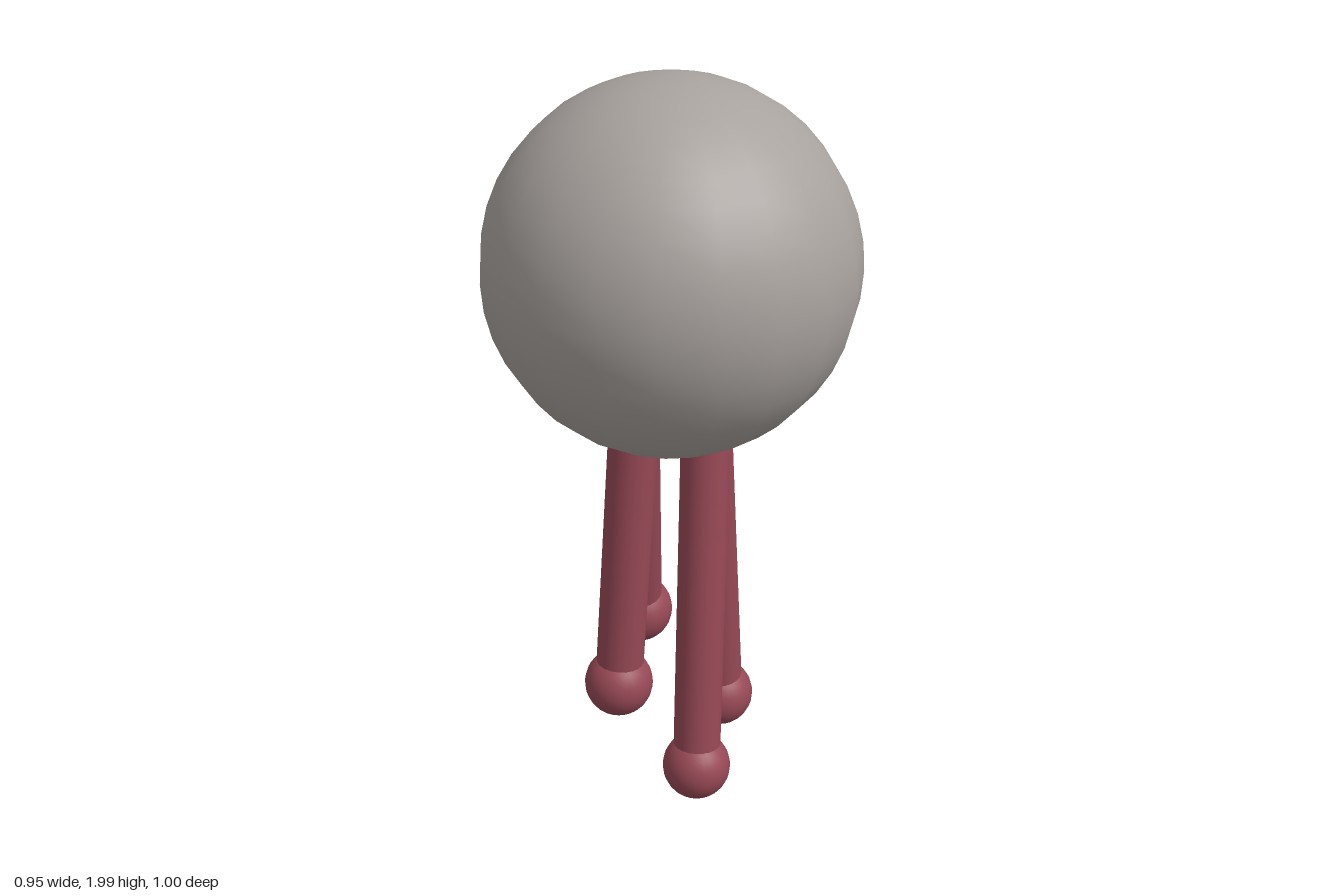
import * as THREE from 'three';

const material = (name, color) => {
  const m = new THREE.MeshStandardMaterial({ color });
  m.name = name;
  return m;
};

export function createModel() {
  const grey = material('grey skin', 0xa8a29e);
  const maroon = material('maroon legs', 0x964855);
  const orange = material('orange eyes', 0xe07050);
  const brown = material('brown mouth', 0x5c4545);

  const model = new THREE.Group();
  model.name = 'leggedBall';

  const add = (parent, name, geometry, mat, x, y, z) => {
    const mesh = new THREE.Mesh(geometry, mat);
    mesh.name = name;
    mesh.position.set(x, y, z);
    parent.add(mesh);
    return mesh;
  };

  // Round body
  add(model, 'body', new THREE.SphereGeometry(0.474, 20, 20), grey, 0, 1.527, 0.025);

  // Face on the back side: two bulging eyes and a flattened oval mouth
  for (const side of [1, -1]) {
    add(model, side > 0 ? 'leftEye' : 'rightEye',
      new THREE.SphereGeometry(0.083, 24, 18), orange, side * 0.172, 1.625, -0.417);
  }
  add(model, 'mouth', new THREE.SphereGeometry(1, 24, 18), brown, 0, 1.34, -0.436)
    .scale.set(0.13, 0.066, 0.037);

  // Four dangling legs, each a straight tube from the hip to a ball foot
  const feet = {
    frontLeft: [0.035, 0.1, 0.178],
    backLeft: [0.155, 0.195, -0.012],
    frontRight: [-0.155, 0.33, 0.053],
    backRight: [-0.053, 0.44, -0.13],
  };
  const up = new THREE.Vector3(0, 1, 0);
  for (const [name, position] of Object.entries(feet)) {
    const foot = new THREE.Vector3(...position);
    const hip = new THREE.Vector3(Math.sign(name.endsWith('Left') ? 1 : -1) * 0.096, 1.13, 0.022);
    const along = hip.clone().sub(foot);
    const middle = foot.clone().add(hip).multiplyScalar(0.5);

    const leg = new THREE.Group();
    leg.name = name + 'Leg';
    add(leg, name + 'Shin', new THREE.CylinderGeometry(0.065, 0.065, along.length(), 20),
      maroon, middle.x, middle.y, middle.z)
      .quaternion.setFromUnitVectors(up, along.clone().normalize());
    add(leg, name + 'Foot', new THREE.SphereGeometry(0.094, 24, 18), maroon, foot.x, foot.y, foot.z);
    model.add(leg);
  }

  return model;
}
